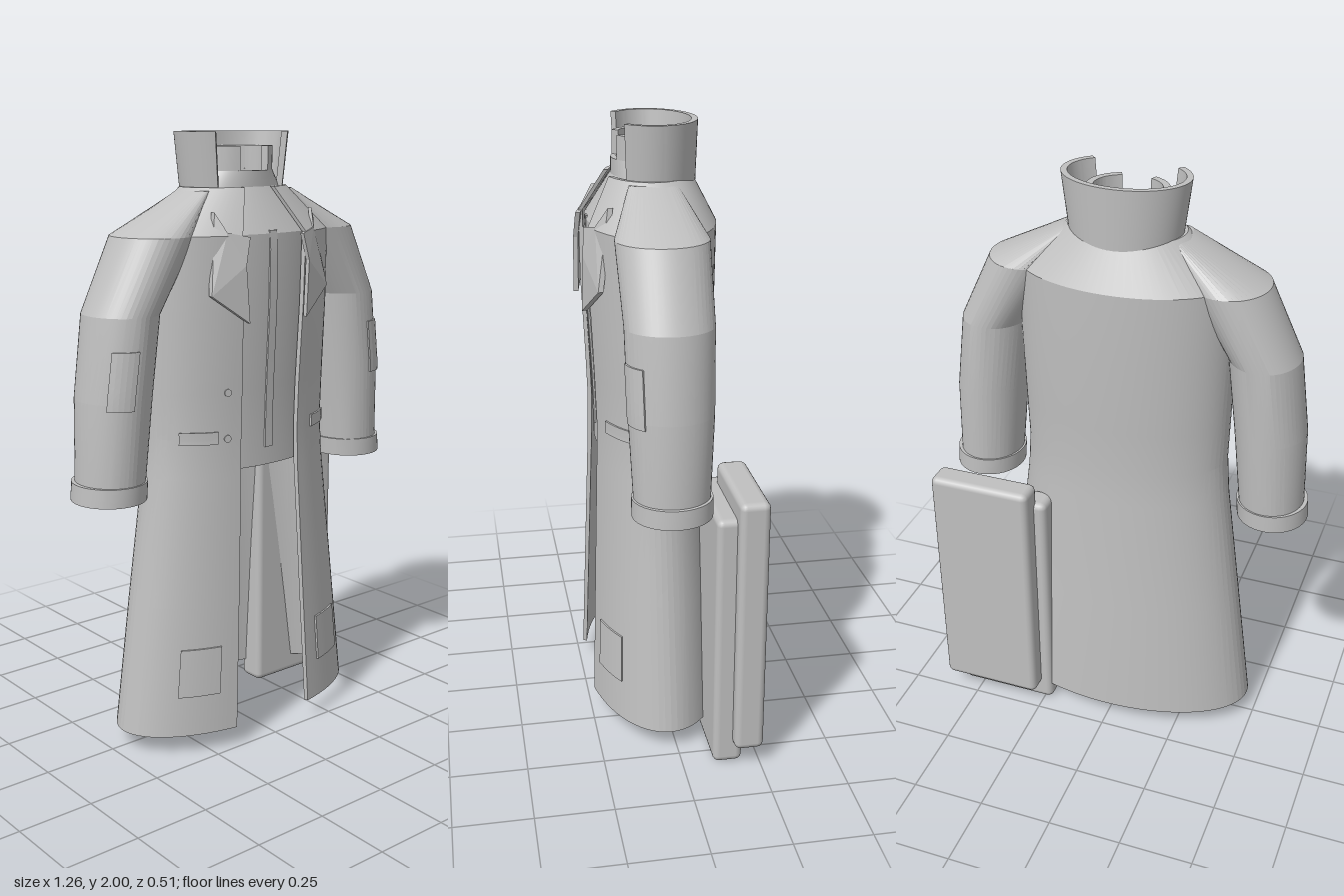
import * as THREE from 'three';
import { toCreasedNormals } from 'three/addons/utils/BufferGeometryUtils.js';
import { RoundedBoxGeometry } from 'three/addons/geometries/RoundedBoxGeometry.js';

const cloth = new THREE.MeshStandardMaterial({ color: 0xc0c0c0, side: THREE.DoubleSide });
cloth.name = 'grey cloth';

// Torso cross-sections: y, half width, centre z, half depth, half width of front opening
const torso = [
  [0.065, 0.47, 0.02, 0.232, 0.16],
  [0.5, 0.413, 0.022, 0.215, 0.14],
  [0.92, 0.357, 0.026, 0.196, 0.122],
  [1.05, 0.348, 0.026, 0.194, 0.12],
  [1.2, 0.352, 0.025, 0.2, 0.12],
  [1.46, 0.358, 0.025, 0.213, 0.125],
  [1.69, 0.36, 0.025, 0.216, 0.13],
  [1.83, 0.19, 0.02, 0.138, 0.06],
];

// Sleeve cross-sections from inside the cuff to the shoulder: y, centre x, centre z, half width, half depth
const sleeve = [
  [1.06, 0.5, 0.03, 0.001, 0.001],
  [1.06, 0.5, 0.03, 0.078, 0.082],
  [0.88, 0.512, 0.03, 0.078, 0.082],
  [0.88, 0.512, 0.03, 0.118, 0.125],
  [0.94, 0.508, 0.03, 0.118, 0.125],
  [0.94, 0.505, 0.03, 0.108, 0.119],
  [1.2, 0.488, 0.03, 0.117, 0.131],
  [1.46, 0.455, 0.03, 0.115, 0.136],
  [1.69, 0.33, 0.03, 0.13, 0.143],
  [1.82, 0.17, 0.03, 0.03, 0.075],
  [1.82, 0.17, 0.03, 0.001, 0.001],
];

function sample(table, y) {
  let i = 0;
  while (i < table.length - 2 && y > table[i + 1][0]) i++;
  const t = (y - table[i][0]) / (table[i + 1][0] - table[i][0]);
  return table[i].map((v, k) => v + (table[i + 1][k] - v) * t);
}

// Point on an ellipse; the angle starts at the front and runs towards +x
const onRing = (cx, y, cz, rx, rz, a) => [cx + rx * Math.sin(a), y, cz + rz * Math.cos(a)];

// Skin a stack of rows of points; capped joins the two halves of the end loops
function loft(rows, closed = true, capped = false) {
  const n = rows[0].length, pos = rows.flat(2), index = [];
  const quad = (a, b, c, d) => index.push(a, b, c, a, c, d);
  for (let i = 0; i < rows.length - 1; i++)
    for (let j = 0; j < (closed ? n : n - 1); j++) {
      const k = (j + 1) % n;
      quad(i * n + j, i * n + k, (i + 1) * n + k, (i + 1) * n + j);
    }
  if (capped) {
    const top = (rows.length - 1) * n;
    for (let j = 0; j < n / 2 - 1; j++) {
      quad(n - 1 - j, n - 2 - j, j + 1, j);
      quad(top + j, top + j + 1, top + n - 2 - j, top + n - 1 - j);
    }
  }
  const g = new THREE.BufferGeometry();
  g.setAttribute('position', new THREE.Float32BufferAttribute(pos, 3));
  g.setIndex(index);
  return toCreasedNormals(g, 0.14);
}

// Thick elliptical shell that is open at the front
function openShell(rings, thick, n = 64) {
  const rows = rings.map(([y, rx, cz, rz, gap]) => {
    const arc = (d) => Array.from({ length: n + 1 }, (_, j) => {
      const g = Math.asin(gap / rx);
      return onRing(0, y, cz, rx - d, rz - d, g + (j / n) * (2 * Math.PI - 2 * g));
    });
    return [...arc(0), ...arc(thick).reverse()];
  });
  return loft(rows, true, true);
}

const fullRing = (cx, y, cz, rx, rz, n = 48) =>
  Array.from({ length: n }, (_, j) => onRing(cx, y, cz, rx, rz, (j / n) * 2 * Math.PI));

// Thin plate that follows a surface given by at(angle, y, offset)
function patch(at, a0, a1, y0, y1, n = 5) {
  const rows = [];
  for (let i = 0; i <= n; i++) {
    const y = y0 + ((y1 - y0) * i) / n;
    const line = (d) => Array.from({ length: n + 1 }, (_, j) => at(a0 + ((a1 - a0) * j) / n, y, d));
    rows.push([...line(0.006), ...line(-0.002).reverse()]);
  }
  return loft(rows, true, true);
}

export function createModel() {
  const model = new THREE.Group();
  model.name = 'coat with boards';
  const add = (name, geometry) => {
    const m = new THREE.Mesh(geometry, cloth);
    m.name = name;
    model.add(m);
    return m;
  };

  add('coatBody', openShell(torso, 0.014));
  add('coatCollar', openShell([
    [1.8, 0.178, 0.01, 0.14, 0.13],
    [2.0, 0.204, 0.012, 0.148, 0.148],
  ], 0.02));

  // Shirt under the coat, open at the waist and neck
  const shirt = [0.94, 1.05, 1.2, 1.46, 1.69, 1.83].map((y) => {
    const [, rx, cz, rz] = sample(torso, y);
    return [y, rx - 0.024, cz, rz - 0.022];
  });
  shirt.push([1.88, 0.13, 0.025, 0.11], [1.88, 0.105, 0.025, 0.092]);
  add('shirt', loft(shirt.map(([y, rx, cz, rz]) => fullRing(0, y, cz, rx, rz, 64))));
  add('shirtCollar', openShell([
    [1.87, 0.13, 0.025, 0.11, 0.056],
    [1.955, 0.13, 0.025, 0.11, 0.056],
  ], 0.022, 40));

  const onShirt = (a, y, d) => {
    const [, rx, cz, rz] = sample(shirt, y);
    return onRing(0, y, cz, rx + d, rz + d, a);
  };
  add('shirtPlacket', patch(onShirt, -0.045, 0.045, 1.0, 1.7, 12));

  const onCoat = (a, y, d) => {
    const [, rx, cz, rz] = sample(torso, y);
    return onRing(0, y, cz, rx + d, rz + d, a);
  };

  for (const s of [-1, 1]) {
    const side = s > 0 ? 'left' : 'right';

    // Sleeve with turned cuff
    add(side + 'Sleeve', loft(sleeve.map(([y, cx, cz, rx, rz]) => fullRing(s * cx, y, cz, rx, rz))));

    // Pocket flap, hem patch and sleeve patch
    const onSleeve = (a, y, d) => {
      const [, cx, cz, rx, rz] = sample(sleeve.slice(5), y);
      return onRing(s * cx, y, cz, rx + d, rz + d, a);
    };
    const mirrored = (at, a0, a1, y0, y1) =>
      s > 0 ? patch(at, a0, a1, y0, y1) : patch(at, -a1, -a0, y0, y1);
    add(side + 'PocketFlap', mirrored(onCoat, 0.6, 1.05, 1.035, 1.075));
    add(side + 'HemPatch', mirrored(onCoat, 0.5, 0.88, 0.2, 0.36));
    add(side + 'SleevePatch', mirrored(onSleeve, 0.1, 0.8, 1.18, 1.36));

    // Notched lapel, bent back over the chest
    const outline = [[0.118, 1.42], [0.24, 1.51], [0.2, 1.76], [0.178, 1.7], [0.11, 1.685], [0.13, 1.6]];
    const shape = new THREE.Shape(outline.map(([x, y]) => new THREE.Vector2(s * x, y)));
    const lapel = new THREE.ExtrudeGeometry(shape, { depth: 0.016, bevelEnabled: false });
    const p = lapel.attributes.position;
    for (let i = 0; i < p.count; i++) {
      const bend = (Math.abs(p.getX(i)) - 0.1) * 0.3 + Math.max(0, p.getY(i) - 1.66) * 0.5;
      p.setZ(i, p.getZ(i) + 0.238 - bend);
    }
    lapel.computeVertexNormals();
    add(side + 'Lapel', lapel);
  }

  // Coat buttons on the right front panel
  for (const y of [1.05, 1.2]) {
    const button = add('coatButton', new THREE.CylinderGeometry(0.012, 0.012, 0.009, 16));
    button.position.set(...onCoat(-0.5, y, 0));
    button.rotation.set(Math.PI / 2, 0, 0.3);
  }

  // Two overlapping boards behind the left hip
  const board = (name, x, y, z) =>
    add(name, new RoundedBoxGeometry(0.355, 0.87, 0.096, 2, 0.022)).position.set(x, y, z);
  board('frontBoard', 0.397, 0.435, -0.147);
  board('rearBoard', 0.437, 0.502, -0.209);

  return model;
}
